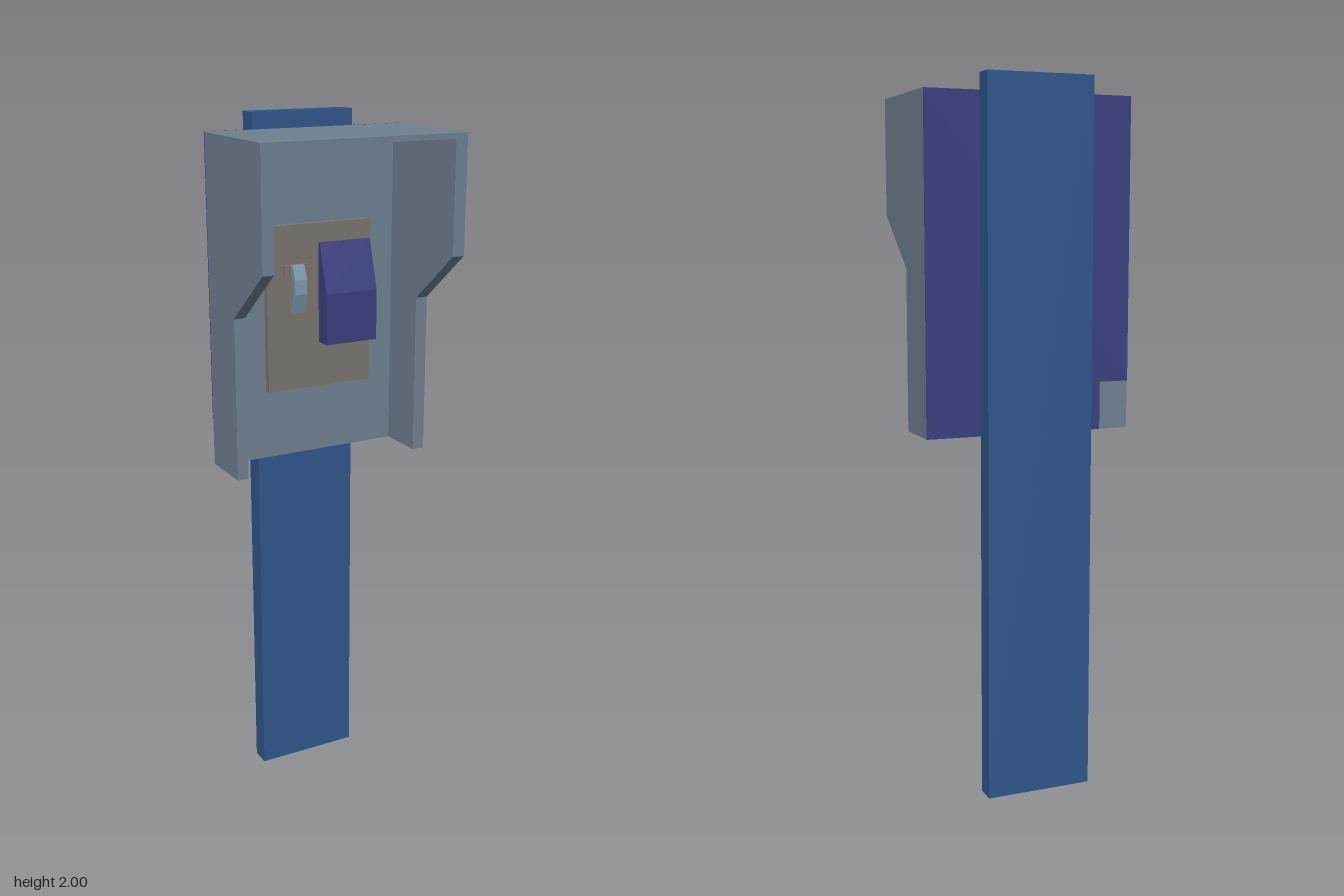
import * as THREE from 'three';

function material(name, color) {
  const m = new THREE.MeshStandardMaterial({ color });
  m.name = name;
  return m;
}

export function createModel() {
  const group = new THREE.Group();
  group.name = 'payPhone';
  const blue = material('postBlue', 0x30568c);
  const slate = material('slateGrey', 0x708090);
  const navy = material('darkIndigo', 0x3a3f80);
  const brown = material('warmGrey', 0x7a7672);
  const steel = material('paleSteel', 0x7f98ac);

  function add(name, geometry, mat) {
    const mesh = new THREE.Mesh(geometry, mat);
    mesh.name = name;
    group.add(mesh);
    return mesh;
  }

  // Box given by its minimum and maximum corners
  function box(name, mat, [x0, y0, z0], [x1, y1, z1]) {
    const mesh = add(name, new THREE.BoxGeometry(x1 - x0, y1 - y0, z1 - z0), mat);
    mesh.position.set((x0 + x1) / 2, (y0 + y1) / 2, (z0 + z1) / 2);
  }

  // Side profile of [z, y] points swept from x0 to x1
  function sweep(name, mat, points, x0, x1) {
    const shape = new THREE.Shape(points.map(([z, y]) => new THREE.Vector2(z, y)));
    const geometry = new THREE.ExtrudeGeometry(shape, { depth: x1 - x0, bevelEnabled: false });
    geometry.rotateY(-Math.PI / 2).translate(x1, 0, 0);
    add(name, geometry, mat);
  }

  // Mounting post
  box('post', blue, [-0.162, 0, -0.2], [0.146, 2, -0.143]);

  // Hood: two stepped side walls, a roof and a back wall, open below
  const wall = [[-0.14, 1.03], [0.02, 1.03], [0.02, 1.485], [0.2, 1.63], [0.2, 1.955], [-0.14, 1.955]];
  sweep('hoodRightWall', slate, wall, -0.302, -0.27);
  sweep('hoodLeftWall', slate, wall, 0.266, 0.302);
  box('hoodRoof', slate, [-0.27, 1.94, -0.14], [0.266, 1.955, 0.2]);
  box('hoodBackWall', slate, [-0.27, 1.03, -0.14], [0.266, 1.94, -0.12]);

  // Painted rear skin with one bare lower corner
  const skin = new THREE.Shape([
    [-0.302, 1.165], [-0.215, 1.165], [-0.215, 1.03], [0.302, 1.03], [0.302, 1.955], [-0.302, 1.955],
  ].map(([x, y]) => new THREE.Vector2(x, y)));
  const skinGeometry = new THREE.ExtrudeGeometry(skin, { depth: 0.003, bevelEnabled: false });
  add('hoodRearSkin', skinGeometry.translate(0, 0, -0.143), navy);

  // Telephone plate and sloping body
  box('phonePlate', brown, [-0.145, 1.23, -0.12], [0.181, 1.7, -0.1]);
  sweep('phoneBody', navy, [[-0.1, 1.36], [-0.052, 1.36], [-0.052, 1.505], [-0.094, 1.645], [-0.1, 1.645]], 0.016, 0.178);

  // Hook bracket with a bowed handle
  box('hookBracket', brown, [-0.095, 1.558, -0.1], [-0.02, 1.59, -0.092]);
  sweep('hookHandle', steel, [
    [-0.092, 1.59], [-0.08, 1.588], [-0.068, 1.55], [-0.066, 1.51], [-0.08, 1.455],
    [-0.094, 1.457], [-0.08, 1.512], [-0.082, 1.548], [-0.094, 1.58],
  ], -0.075, -0.038);

  return group;
}
